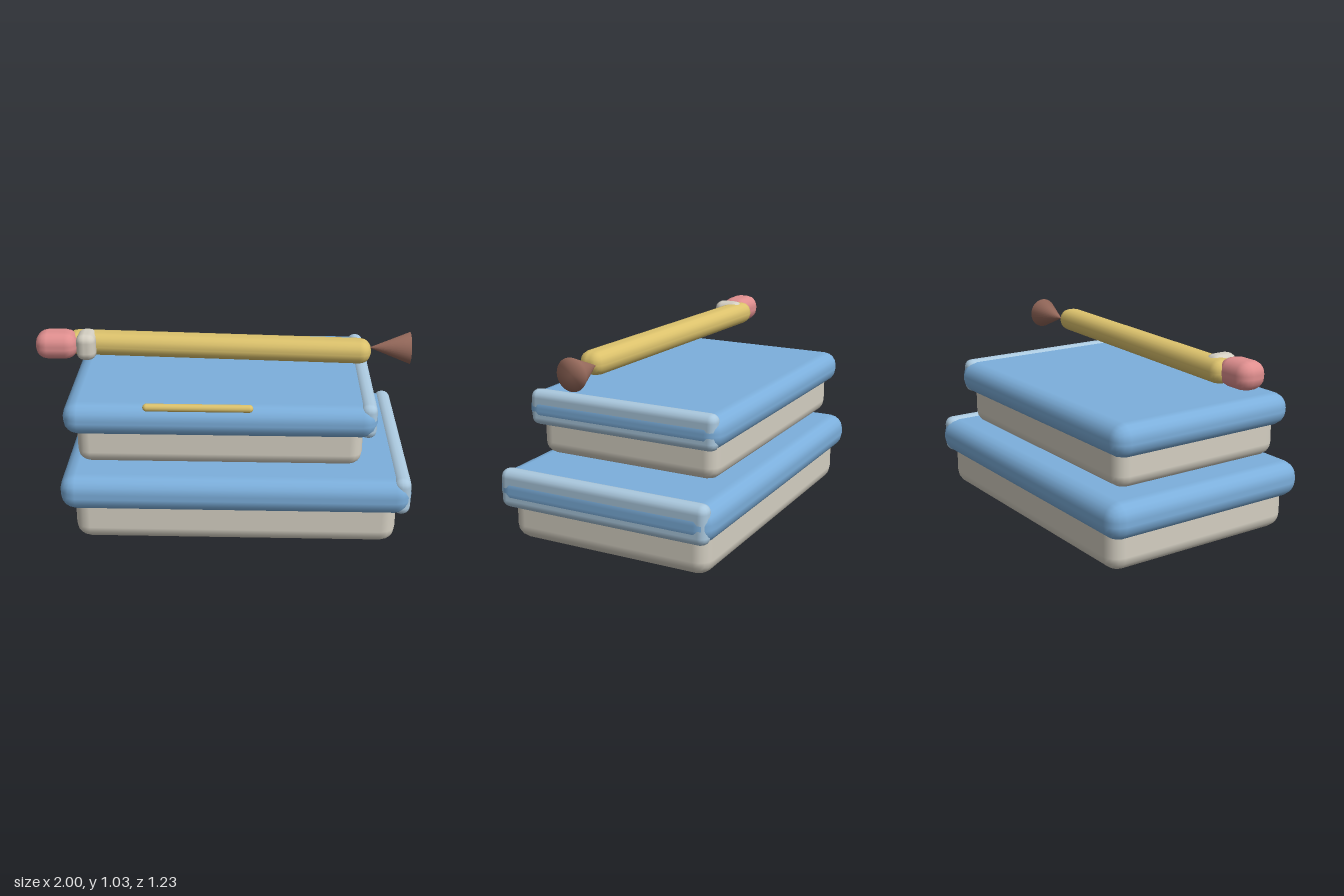
import * as THREE from 'three';
import { RoundedBoxGeometry } from 'three/addons/geometries/RoundedBoxGeometry.js';

function material(name, color) {
  const m = new THREE.MeshStandardMaterial({ color });
  m.name = name;
  return m;
}

export function createModel() {
  const blue = material('coverBlue', 0x7cafdc);
  const paleBlue = material('spinePaleBlue', 0xabc9df);
  const cream = material('paperCream', 0xd4cfc2);
  const yellow = material('pencilYellow', 0xdcc26c);
  const pink = material('eraserPink', 0xe08f8f);
  const brown = material('tipBrown', 0x94685a);

  const model = new THREE.Group();
  model.name = 'booksAndPencil';

  function add(parent, name, geometry, mat) {
    const mesh = new THREE.Mesh(geometry, mat);
    mesh.name = name;
    parent.add(mesh);
    return mesh;
  }

  // Soft-edged block given by its [min, max] range on each axis
  function block(parent, name, mat, x, y, z, radius) {
    const geometry = new RoundedBoxGeometry(x[1] - x[0], y[1] - y[0], z[1] - z[0], 2, radius);
    const mesh = add(parent, name, geometry, mat);
    mesh.position.set((x[0] + x[1]) / 2, (y[0] + y[1]) / 2, (z[0] + z[1]) / 2);
    return mesh;
  }

  // Lower book
  const lower = new THREE.Group();
  lower.name = 'lowerBook';
  model.add(lower);
  block(lower, 'pages', cream, [-0.775, 0.925], [0, 0.28], [-0.57, 0.57], 0.08);
  block(lower, 'cover', blue, [-0.845, 0.995], [0.19, 0.385], [-0.615, 0.615], 0.085);
  block(lower, 'spine', paleBlue, [0.897, 0.99], [0.19, 0.398], [-0.595, 0.595], 0.045);

  // Upper book
  const upper = new THREE.Group();
  upper.name = 'upperBook';
  model.add(upper);
  block(upper, 'pages', cream, [-0.755, 0.735], [0.422, 0.68], [-0.52, 0.5], 0.07);
  block(upper, 'cover', blue, [-0.82, 0.805], [0.595, 0.77], [-0.567, 0.545], 0.08);
  block(upper, 'spine', paleBlue, [0.713, 0.8], [0.595, 0.783], [-0.545, 0.523], 0.042);

  // Pencil, its shaft slightly turned from the end pieces
  const pencil = new THREE.Group();
  pencil.name = 'pencil';
  pencil.position.set(0, 0.95, 0.125);
  model.add(pencil);
  const shaft = block(pencil, 'shaft', yellow, [-0.842, 0.782], [-0.065, 0.062], [-0.072, 0.072], 0.06);
  shaft.rotation.y = -0.057;
  block(pencil, 'eraser', pink, [-1, -0.775], [-0.072, 0.076], [-0.083, 0.083], 0.065);
  block(pencil, 'ferrule', cream, [-0.782, -0.675], [-0.074, 0.074], [-0.079, 0.079], 0.045);

  // Flared tip: one smooth profile turned round the pencil axis
  const profile = [[0, 0], [0.085, 0], [0, 0.215]].map(([r, h]) => new THREE.Vector2(r, h));
  const tip = add(pencil, 'tip', new THREE.LatheGeometry(profile, 32), brown);
  tip.rotation.z = Math.PI / 2;
  tip.position.x = 0.99;

  // Slim trim bar by the upper cover's front edge
  const bar = add(model, 'trimBar', new THREE.CapsuleGeometry(0.02, 0.52, 4, 14), yellow);
  bar.rotation.z = Math.PI / 2;
  bar.position.set(-0.115, 0.787, 0.567);

  return model;
}
